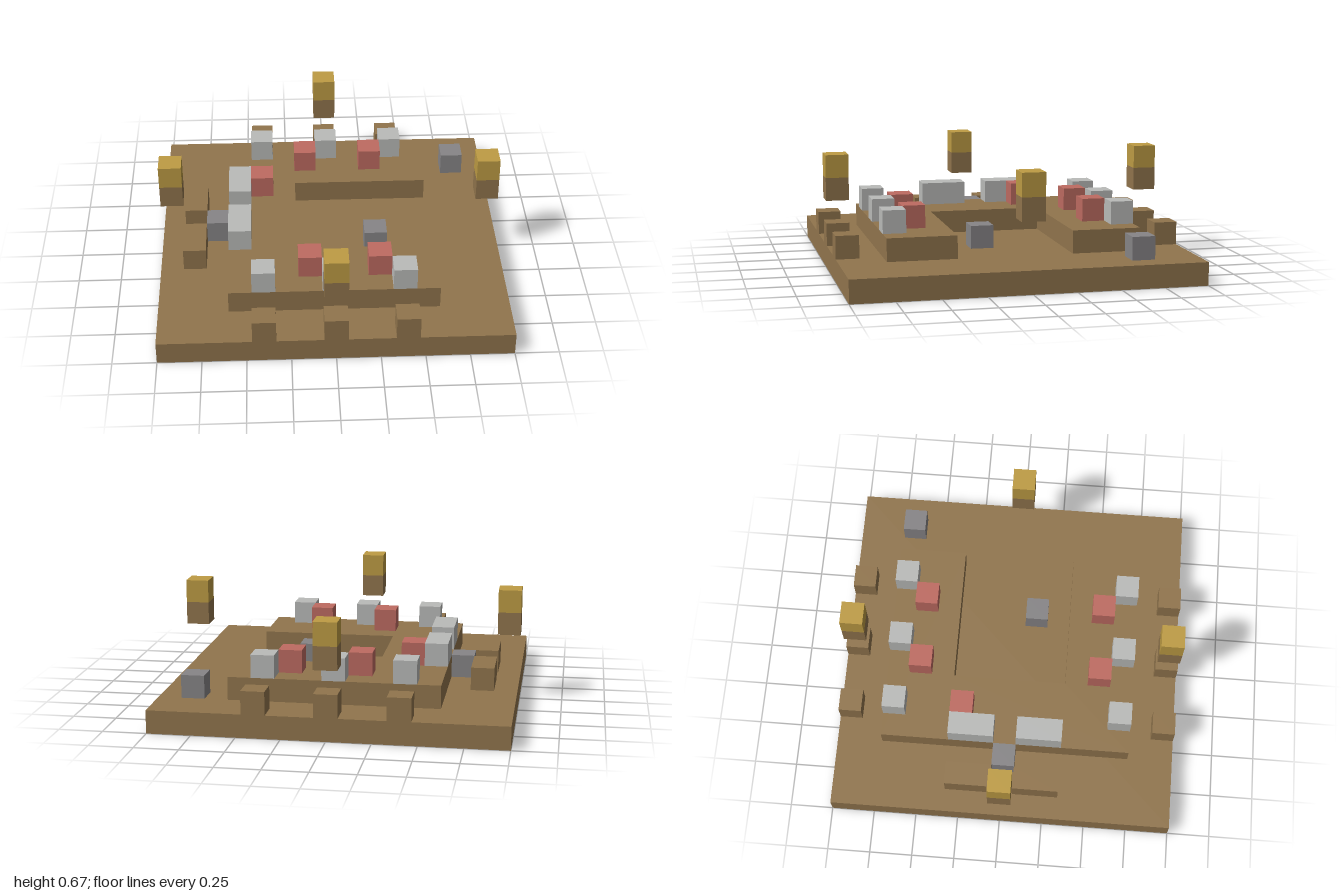
import * as THREE from 'three';

const U = 2 / 15; // one cell of the 15 x 15 grid

const mat = (name, color) => {
  const m = new THREE.MeshStandardMaterial({ color });
  m.name = name;
  return m;
};

export function createModel() {
  const earth = mat('earth brown', 0x91754d);
  const gold = mat('gold', 0xbe9c44);
  const red = mat('brick red', 0xbe6b61);
  const paleStone = mat('pale stone', 0xbabbb9);
  const darkStone = mat('dark stone', 0x878587);

  const model = new THREE.Group();
  model.name = 'courtyardFort';

  // Box from grid cell (x, layer, z), spanning w x 1 x d cells
  const block = (name, material, x, layer, z, w = 1, d = 1, parent = model) => {
    const mesh = new THREE.Mesh(new THREE.BoxGeometry(w * U, U, d * U), material);
    mesh.name = name;
    mesh.position.set((x + w / 2) * U - 1, (layer + 0.5) * U, (z + d / 2) * U - 1);
    parent.add(mesh);
  };

  // Ground slab
  block('groundSlab', earth, 0, 0, 0, 15, 15);

  // C-shaped terrace, open towards +x
  const outline = [[3, 2], [12, 2], [12, 5], [6, 5], [6, 10], [12, 10], [12, 13], [3, 13]];
  const shape = new THREE.Shape(outline.map(([x, z]) => new THREE.Vector2(x * U - 1, z * U - 1)));
  const terraceGeo = new THREE.ExtrudeGeometry(shape, { depth: U, bevelEnabled: false });
  terraceGeo.rotateX(Math.PI / 2);
  const terrace = new THREE.Mesh(terraceGeo, earth);
  terrace.name = 'terrace';
  terrace.position.y = 2 * U;
  model.add(terrace);

  // Features mirrored between front and back
  for (const [side, at] of [['back', (z) => z], ['front', (z) => 14 - z]]) {
    for (const x of [4, 7, 10]) {
      block(side + 'EdgeBattlement', earth, x, 1, at(0));
      block(side + 'PaleBlock', paleStone, x, 2, at(2));
    }
    for (const x of [6, 9]) block(side + 'RedBlock', red, x, 2, at(3));
  }

  // Long blocks either side of the gap on the -x side
  for (const z of [5, 8]) {
    block('outerWall', earth, 1, 1, z, 1, 2);
    block('paleParapet', paleStone, 3, 2, z, 1, 2);
  }
  block('sideRedBlock', red, 4, 2, 5);

  // Loose dark stones on the ground
  for (const [x, z] of [[2, 7], [9, 8], [13, 2]]) block('darkStone', darkStone, x, 1, z);

  // Floating gold-topped posts at the middle of each edge
  for (const [x, z] of [[7, 0], [7, 14], [0, 7], [14, 7]]) {
    const post = new THREE.Group();
    post.name = 'floatingPost';
    block('postBase', earth, x, 3, z, 1, 1, post);
    block('postCap', gold, x, 4, z, 1, 1, post);
    model.add(post);
  }

  return model;
}
